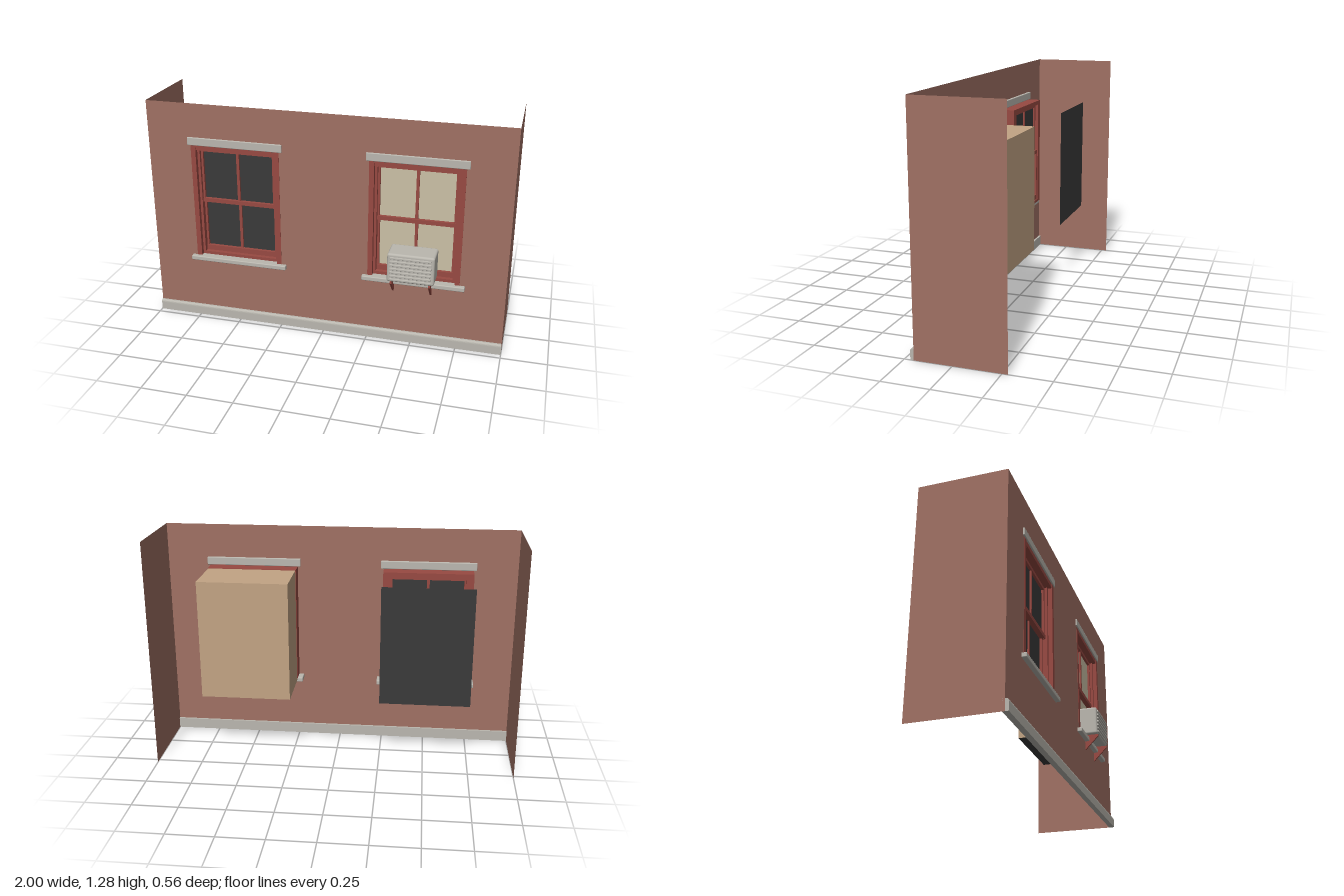
import * as THREE from 'three';
import { RoundedBoxGeometry } from 'three/addons/geometries/RoundedBoxGeometry.js';

const mat = (name, color, side = THREE.FrontSide) => {
  const m = new THREE.MeshStandardMaterial({ color, side });
  m.name = name;
  return m;
};

export function createModel() {
  const brick = mat('brick', 0xa07164, THREE.DoubleSide);
  const stone = mat('stone', 0xbab7af);
  const red = mat('redPaint', 0x984a42);
  const dark = mat('darkGlass', 0x3a3a3a, THREE.DoubleSide);
  const cream = mat('creamGlass', 0xcbc0a6, THREE.DoubleSide);
  const tan = mat('tanRoom', 0xc2a484, THREE.DoubleSide);

  const model = new THREE.Group();
  const add = (parent, name, geo, material) => {
    const mesh = new THREE.Mesh(geo, material);
    mesh.name = name;
    parent.add(mesh);
    return mesh;
  };
  // Box given by its limits on each axis, with optional rounded edges
  const block = (parent, name, material, [x0, x1], [y0, y1], [z0, z1], r = 0) => {
    const s = [x1 - x0, y1 - y0, z1 - z0];
    const geo = r ? new RoundedBoxGeometry(...s, 2, r) : new THREE.BoxGeometry(...s);
    geo.translate((x0 + x1) / 2, (y0 + y1) / 2, (z0 + z1) / 2);
    return add(parent, name, geo, material);
  };
  const plate = (parent, name, material, w, h, x, y, z, rx = 0, ry = 0) => {
    const mesh = add(parent, name, new THREE.PlaneGeometry(w, h), material);
    mesh.position.set(x, y, z);
    mesh.rotation.set(rx, ry, 0);
    return mesh;
  };

  // Front wall with two window openings
  const rect = (C, x0, x1, y0, y1) => {
    const p = new C();
    p.moveTo(x0, y0);
    p.lineTo(x1, y0);
    p.lineTo(x1, y1);
    p.lineTo(x0, y1);
    p.closePath();
    return p;
  };
  const wall = rect(THREE.Shape, -1, 1, 0, 1.28);
  for (const x of [-0.5, 0.5]) wall.holes.push(rect(THREE.Path, x - 0.25, x + 0.25, 0.37, 1.045));
  add(model, 'frontWall', new THREE.ShapeGeometry(wall), brick).position.z = 0.2;

  // Side walls
  for (const s of [-1, 1]) plate(model, 'sideWall', brick, 0.48, 1.28, s, 0.64, -0.04, 0, s * Math.PI / 2);

  // Plinth with a rounded upper front edge
  const profile = new THREE.Shape();
  profile.moveTo(-0.187, 0);
  profile.lineTo(-0.187, 0.06);
  profile.lineTo(-0.209, 0.06);
  profile.quadraticCurveTo(-0.218, 0.058, -0.218, 0.045);
  profile.lineTo(-0.218, 0);
  const plinth = new THREE.ExtrudeGeometry(profile, { depth: 2, bevelEnabled: false, curveSegments: 5 });
  plinth.rotateY(Math.PI / 2).translate(-1, 0, 0);
  add(model, 'plinth', plinth, stone);

  // Sash window with lintel and sill
  const makeWindow = (name, x, glass) => {
    const g = new THREE.Group();
    g.name = name;
    g.position.x = x;
    model.add(g);
    block(g, 'lintel', stone, [-0.27, 0.27], [1.045, 1.09], [0.187, 0.208], 0.004);
    block(g, 'sill', stone, [-0.282, 0.282], [0.357, 0.383], [0.13, 0.225], 0.005);
    for (const s of [-1, 1]) {
      const side = (a, b) => (s < 0 ? [-b, -a] : [a, b]);
      block(g, 'jamb', red, side(0.226, 0.253), [0.383, 1.043], [0.12, 0.202]);
      block(g, 'frameStop', red, side(0.212, 0.226), [0.383, 1.02], [0.12, 0.178]);
      block(g, 'upperStile', red, side(0.2, 0.213), [0.7, 1.015], [0.138, 0.162]);
      block(g, 'lowerStile', red, side(0.2, 0.213), [0.385, 0.72], [0.126, 0.15]);
    }
    block(g, 'frameHead', red, [-0.226, 0.226], [1.018, 1.043], [0.12, 0.2]);
    block(g, 'topRail', red, [-0.213, 0.213], [1.0, 1.018], [0.138, 0.162]);
    block(g, 'meetingRail', red, [-0.213, 0.213], [0.702, 0.725], [0.126, 0.166]);
    block(g, 'bottomRail', red, [-0.213, 0.213], [0.4, 0.43], [0.126, 0.155]);
    block(g, 'frameFoot', red, [-0.226, 0.226], [0.383, 0.4], [0.12, 0.178]);
    block(g, 'upperMuntin', red, [-0.008, 0.008], [0.725, 1.0], [0.138, 0.158]);
    block(g, 'lowerMuntin', red, [-0.008, 0.008], [0.43, 0.702], [0.126, 0.146]);
    plate(g, 'upperPane', glass, 0.402, 0.285, 0, 0.86, 0.148);
    plate(g, 'lowerPane', glass, 0.402, 0.285, 0, 0.567, 0.137);
    return g;
  };
  const darkWindow = makeWindow('darkWindow', -0.5, dark);
  const litWindow = makeWindow('litWindow', 0.5, cream);

  // Dark screen behind one window
  plate(darkWindow, 'backScreen', dark, 0.5, 0.67, 0, 0.705, -0.165);

  // Room shell behind the other
  const depth = 0.29, zMid = -0.02;
  plate(litWindow, 'roomBack', tan, 0.5, 0.67, 0, 0.705, -0.165);
  plate(litWindow, 'roomCeiling', tan, 0.5, depth, 0, 1.04, zMid, Math.PI / 2);
  plate(litWindow, 'roomFloor', dark, 0.5, depth, 0, 0.37, zMid, Math.PI / 2);
  for (const s of [-1, 1]) plate(litWindow, 'roomSide', tan, depth, 0.67, s * 0.25, 0.705, zMid, 0, s * Math.PI / 2);

  // Air conditioner with slatted grille
  const cooler = new THREE.Group();
  cooler.name = 'airConditioner';
  model.add(cooler);
  block(cooler, 'coolerBody', stone, [0.368, 0.624], [0.395, 0.561], [0.14, 0.276], 0.012);
  for (let i = 0; i < 7; i++) {
    const y = 0.412 + i * 0.021;
    block(cooler, 'grilleSlat', stone, [0.384, 0.608], [y - 0.006, y + 0.006], [0.268, 0.284], 0.003);
  }

  // Triangular support brackets
  const tri = new THREE.Shape();
  tri.moveTo(-0.2, 0.305);
  tri.lineTo(-0.2, 0.395);
  tri.lineTo(-0.278, 0.395);
  tri.lineTo(-0.278, 0.385);
  for (const x of [0.392, 0.6]) {
    const geo = new THREE.ExtrudeGeometry(tri, { depth: 0.01, bevelEnabled: false });
    geo.rotateY(Math.PI / 2).translate(x - 0.005, 0, 0);
    add(cooler, 'bracket', geo, red);
  }
  return model;
}
